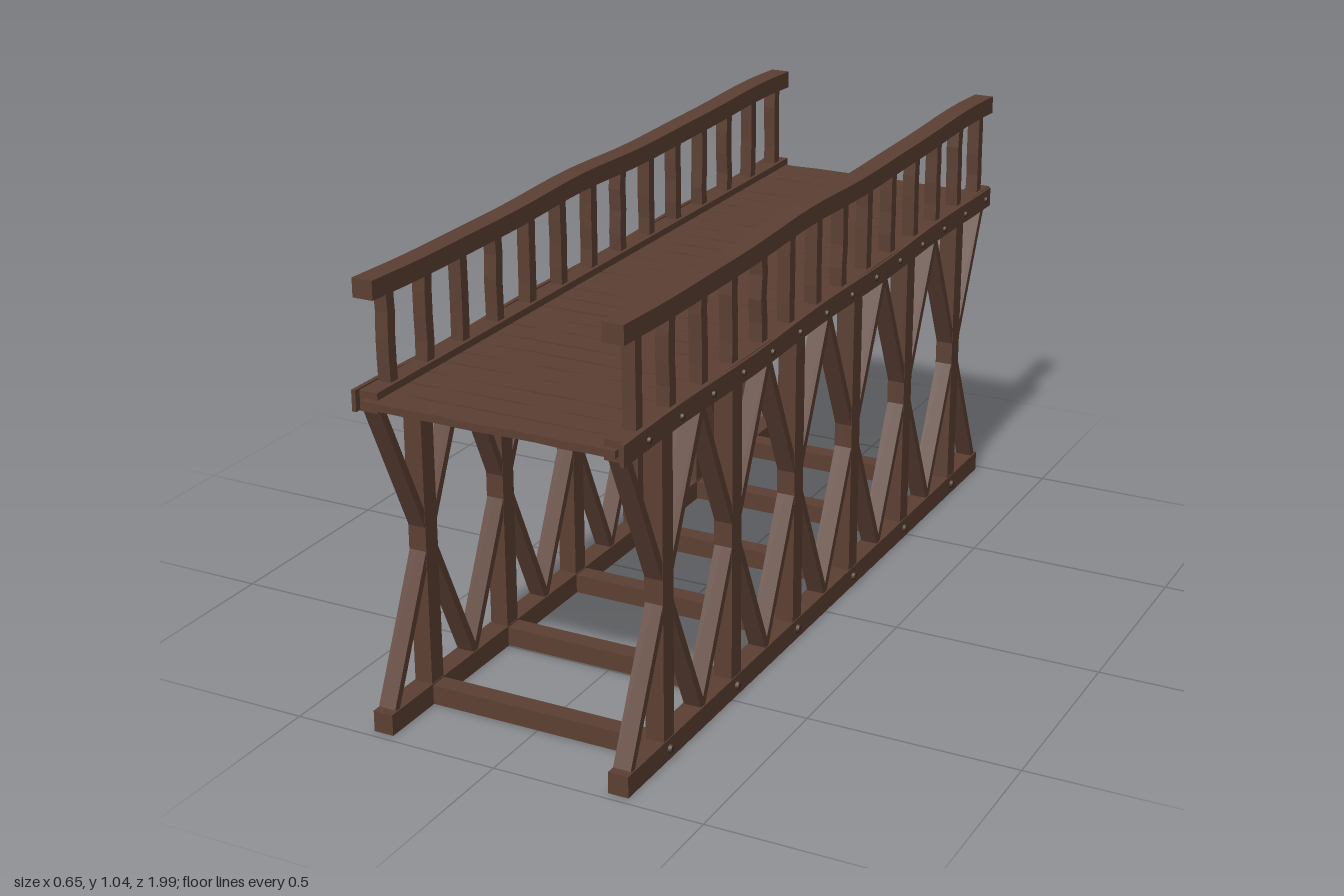
import * as THREE from 'three';

const wood = new THREE.MeshStandardMaterial({ color: 0x5c4033 });
wood.name = 'dark timber';
const iron = new THREE.MeshStandardMaterial({ color: 0x4a3428 });
iron.name = 'bolt brown';

// Small seeded generator for hand-cut irregularity
function makeRandom(seed) {
  return () => {
    seed = (seed * 16807) % 2147483647;
    return seed / 2147483647;
  };
}

// Adds a timber; an optional rule bends the subdivided box, kept faceted
function addTimber(parent, name, size, pos, segments = [1, 1, 1], bend = null) {
  let geometry = new THREE.BoxGeometry(...size, ...segments);
  if (bend) {
    const p = geometry.attributes.position;
    const v = new THREE.Vector3();
    for (let i = 0; i < p.count; i++) {
      v.fromBufferAttribute(p, i);
      bend(v);
      p.setXYZ(i, v.x, v.y, v.z);
    }
    geometry = geometry.toNonIndexed();
    geometry.computeVertexNormals();
  }
  const mesh = new THREE.Mesh(geometry, wood);
  mesh.name = name;
  mesh.position.set(...pos);
  parent.add(mesh);
  return mesh;
}

// Bolt head pointing sideways
function addBolt(parent, x, y, z, radius) {
  const bolt = new THREE.Mesh(new THREE.CylinderGeometry(radius * 0.7, radius, 0.008, 8), iron);
  bolt.name = 'bolt';
  bolt.rotation.z = -Math.sign(x) * Math.PI / 2;
  bolt.position.set(x, y, z);
  parent.add(bolt);
}

export function createModel() {
  const bridge = new THREE.Group();
  bridge.name = 'footbridge';
  const random = makeRandom(4721);
  const postZ = [0.795, 0.475, 0.157, -0.162, -0.481, -0.8];

  // Deck of rough planks with uneven edges
  const deck = new THREE.Group();
  deck.name = 'deck';
  const count = 29;
  const pitch = 1.98 / count;
  for (let i = 0; i < count; i++) {
    const edges = [[], []];
    for (const edge of edges) {
      for (let k = 0; k <= 10; k++) edge.push((random() - 0.5) * 0.007);
    }
    addTimber(deck, 'deckPlank', [0.6, 0.017, pitch - 0.004],
      [0, 0.771, -0.99 + pitch * (i + 0.5)], [10, 1, 1], (v) => {
        v.z += edges[v.z > 0 ? 1 : 0][Math.round((v.x + 0.3) / 0.06)];
      });
  }
  bridge.add(deck);

  // Sills joined across the bridge under each pair of posts
  for (const z of postZ) {
    addTimber(bridge, 'crossBeam', [0.55, 0.046, 0.046], [0, 0.024, z]);
  }

  for (const side of [-1, 1]) {
    const truss = new THREE.Group();
    truss.name = side > 0 ? 'leftTruss' : 'rightTruss';
    const x = side * 0.291;

    // Long timbers
    addTimber(truss, 'sill', [0.048, 0.05, 1.96], [x, 0.025, 0]);
    addTimber(truss, 'stringer', [0.048, 0.046, 1.97], [x, 0.773, -0.01]);
    addTimber(truss, 'fasciaBoard', [0.01, 0.048, 1.98], [side * 0.316, 0.773, 0], [1, 1, 24], (v) => {
      v.y += 0.003 * Math.sin(v.z * 9 + side);
    });

    // Posts, each with a pair of crossed braces
    for (const z of postZ) {
      addTimber(truss, 'post', [0.044, 0.71, 0.046], [x, 0.4, z]);
      for (const tilt of [-1, 1]) {
        const brace = addTimber(truss, 'brace', [0.042, 0.77, 0.018], [x, 0.4, z]);
        brace.rotation.x = tilt * Math.atan2(0.32, 0.7);
      }
      addBolt(truss, side * 0.318, 0.025, z, 0.012);
    }

    // Railing balusters with a slight wobble
    for (let i = 0; i < 14; i++) {
      const z = 0.9 - i * 0.1418;
      const shifts = [0, 1, 2, 3, 4].map(() => (random() - 0.5) * 0.006);
      addTimber(truss, 'baluster', [0.031, 0.22, 0.027], [x, 0.895, z], [1, 4, 1], (v) => {
        v.z += shifts[Math.round((v.y + 0.11) / 0.055)];
      });
      addBolt(truss, side * 0.323, 0.77, z - 0.012, 0.009);
    }

    // Gently uneven handrail
    addTimber(truss, 'handrail', [0.049, 0.043, 1.97], [x, 1.015, -0.01], [1, 1, 32], (v) => {
      v.y += 0.004 * Math.cos((v.z - 0.15) * 7) + 0.0015 * Math.sin(v.z * 13);
    });
    bridge.add(truss);
  }
  return bridge;
}
